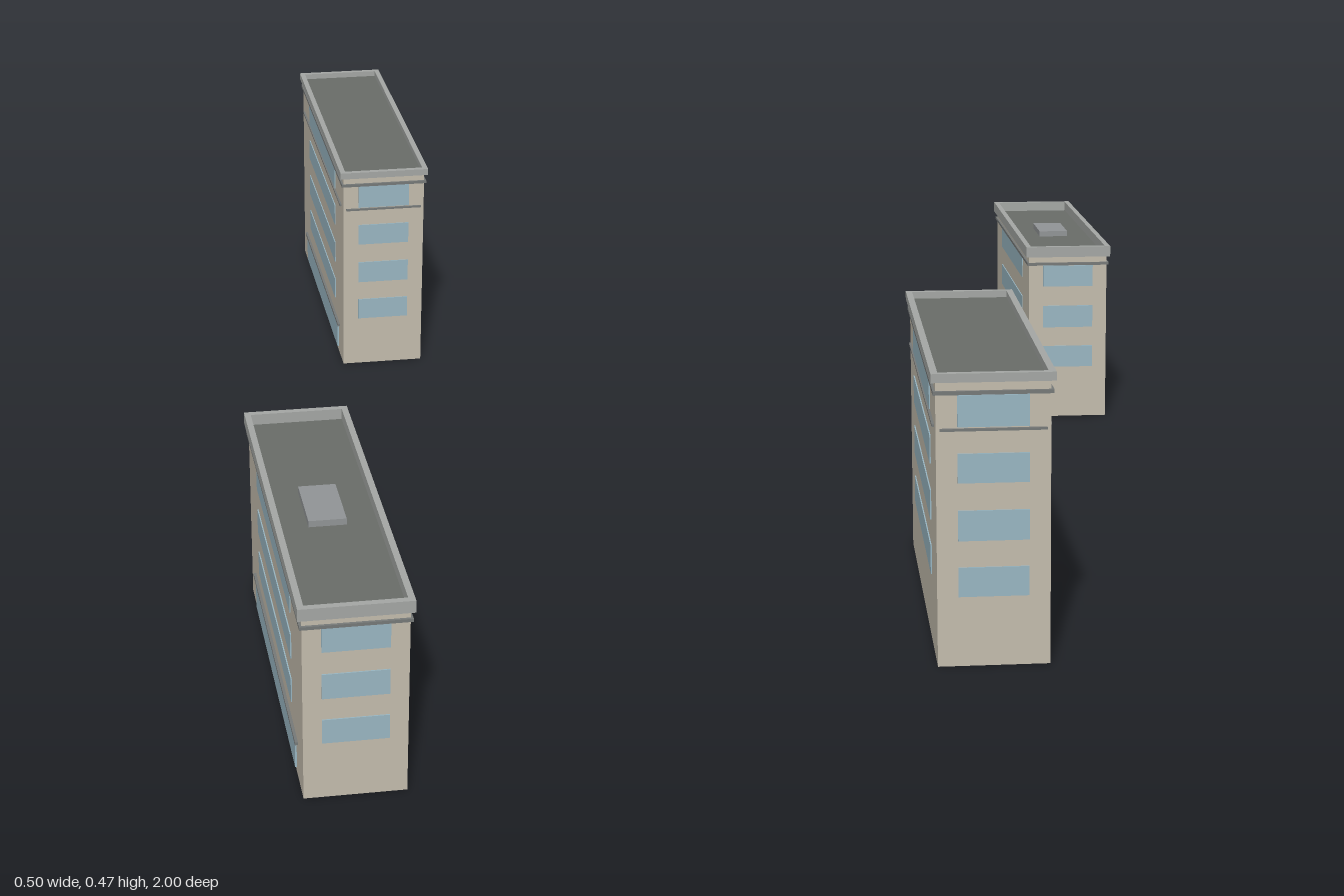
import * as THREE from 'three';

const mat = (color) => new THREE.MeshStandardMaterial({ color });
const MATS = {
  wall: mat(0xc4bdae), glass: mat(0x9ab7c3), trim: mat(0xa5a8a5),
  dark: mat(0x777a79), roof: mat(0x6a6d69), hatch: mat(0x929597),
};

// One block on a slightly skewed plot; kx and kz are the skews of the plan.
function building({ name, cx, cz, w, d, kx, kz, wallTop, parapetTop, bandY, bandH, rows, ledgeY, hatch }) {
  const group = new THREE.Group();
  group.name = name;
  const skew = new THREE.Matrix4().set(
    1, 0, kx, cx,
    0, 1, 0, 0,
    kz, 0, 1, cz,
    0, 0, 0, 1);

  const add = (part, geometry, material) => {
    const mesh = new THREE.Mesh(geometry.applyMatrix4(skew), material);
    mesh.name = part;
    group.add(mesh);
  };
  const box = (part, material, sx, y0, y1, sz, x = 0, z = 0) =>
    add(part, new THREE.BoxGeometry(sx, y1 - y0, sz).translate(x, (y0 + y1) / 2, z), material);

  // Panels on the facades: side is +1 or -1
  const onEnd = (part, material, side, width, y0, y1, depth) =>
    box(part, material, width, y0, y1, depth * 2, 0, side * d / 2);
  const onSide = (part, material, side, length, y0, y1, depth, z = 0) =>
    box(part, material, depth * 2, y0, y1, length, side * w / 2, z);

  // Body, roof deck and the narrow cornice
  box('walls', MATS.wall, w, 0, wallTop, d);
  box('roofDeck', MATS.roof, w - 0.004, wallTop - 0.002, wallTop + 0.002, d - 0.004);
  box('cornice', MATS.dark, w + 0.008, bandY, bandY + bandH, d + 0.008);

  // Parapet ring
  const rect = (path, hw, hd) =>
    path.moveTo(-hw, -hd).lineTo(hw, -hd).lineTo(hw, hd).lineTo(-hw, hd).closePath();
  const ring = rect(new THREE.Shape(), w / 2 + 0.007, d / 2 + 0.006);
  ring.holes.push(rect(new THREE.Path(), w / 2 - 0.004, d / 2 - 0.004));
  const parapet = new THREE.ExtrudeGeometry(ring, { depth: parapetTop - wallTop, bevelEnabled: false });
  add('parapet', parapet.rotateX(-Math.PI / 2).translate(0, wallTop, 0), MATS.trim);

  // Window strips and the thin ledge on all four faces
  for (const side of [1, -1]) {
    for (const [y0, y1] of rows) {
      onEnd('endWindow', MATS.glass, side, 0.11, y0, y1, 0.002);
      onSide('sideWindow', MATS.glass, side, 0.368, y0, y1, 0.002);
    }
    if (ledgeY) {
      onEnd('endLedge', MATS.dark, side, 0.164, ledgeY, ledgeY + 0.004, 0.004);
      onSide('sideLedge', MATS.dark, side, 0.53, ledgeY, ledgeY + 0.004, 0.004);
    }
  }

  // Ground-floor shopfront on the street side
  onSide('shopfront', MATS.glass, -1, 0.45, 0.01, 0.068, 0.003);
  onSide('shopfrontLedge', MATS.dark, -1, 0.48, 0.07, 0.076, 0.005);

  if (hatch) box('roofHatch', MATS.hatch, 0.064, wallTop, wallTop + 0.014, 0.106, -0.002, -0.006);
  return group;
}

export function createModel() {
  const model = new THREE.Group();
  model.name = 'buildings';
  const rows = [[0.115, 0.163], [0.206, 0.255], [0.299, 0.346]];
  model.add(building({
    name: 'shortBuilding', cx: -0.155, cz: 0.699, w: 0.172, d: 0.583, kx: 0.0137, kz: 0.04,
    wallTop: 0.366, parapetTop: 0.389, bandY: 0.347, bandH: 0.006, rows, hatch: true,
  }));
  model.add(building({
    name: 'tallBuilding', cx: 0.155, cz: -0.701, w: 0.176, d: 0.578, kx: 0, kz: 0.036,
    wallTop: 0.459, parapetTop: 0.473, bandY: 0.439, bandH: 0.006,
    rows: [...rows, [0.388, 0.438]], ledgeY: 0.382,
  }));
  return model;
}
